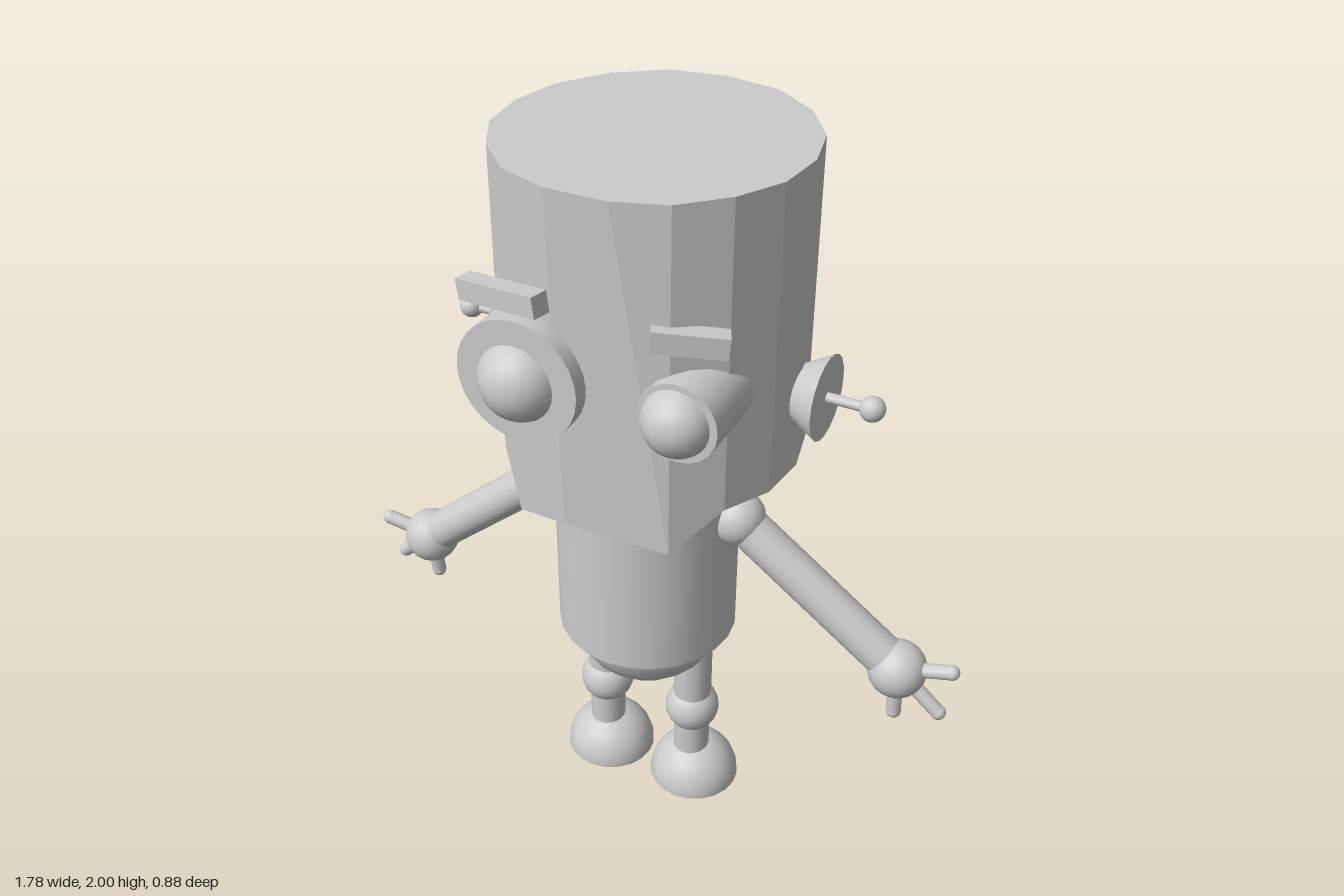
import * as THREE from 'three';

const V = (x, y, z) => new THREE.Vector3(x, y, z);

export function createModel() {
  const root = new THREE.Group();
  const smooth = new THREE.MeshStandardMaterial({ color: 0xcccccc });
  const flat = new THREE.MeshStandardMaterial({ color: 0xcccccc, flatShading: true, side: THREE.DoubleSide });

  const add = (name, geometry, x = 0, y = 0, z = 0, material = smooth) => {
    const mesh = new THREE.Mesh(geometry, material);
    mesh.name = name;
    mesh.position.set(x, y, z);
    root.add(mesh);
    return mesh;
  };
  const ball = (name, r, p) => add(name, new THREE.SphereGeometry(r, 20, 14), p.x, p.y, p.z);
  // Round bar from a to b, radius ra at a and rb at b
  const bar = (name, a, b, ra, rb = ra, sides = 20) => {
    const d = b.clone().sub(a);
    const mid = a.clone().add(b).multiplyScalar(0.5);
    const mesh = add(name, new THREE.CylinderGeometry(rb, ra, d.length(), sides), mid.x, mid.y, mid.z);
    mesh.quaternion.setFromUnitVectors(V(0, 1, 0), d.normalize());
    return mesh;
  };

  add('head', headGeometry(), 0, 0, 0, flat);

  // Neck and torso
  bar('neck', V(-0.01, 1.03, -0.02), V(-0.01, 1.2, -0.02), 0.08);
  bar('torso', V(-0.01, 0.57, -0.02), V(-0.01, 1.07, -0.02), 0.25, 0.25, 24);
  ball('hips', 0.23, V(-0.01, 0.61, -0.02));

  // Eyes: a wide short socket on the right, a narrow long one on the left
  bar('rightEyeSocket', V(-0.16, 1.5, 0.18), V(-0.16, 1.5, 0.37), 0.163, 0.163, 28);
  ball('rightEye', 0.108, V(-0.163, 1.495, 0.335));
  bar('leftEyeSocket', V(0.245, 1.485, 0.1), V(0.245, 1.485, 0.338), 0.104);
  ball('leftEye', 0.09, V(0.242, 1.485, 0.32));

  // Eyebrows
  add('rightEyebrow', new THREE.BoxGeometry(0.255, 0.055, 0.05), -0.21, 1.7, 0.33, flat)
    .rotation.set(0, -0.25, 0.15);
  add('leftEyebrow', new THREE.BoxGeometry(0.18, 0.055, 0.05), 0.25, 1.675, 0.285, flat)
    .rotation.set(0, 0.46, -0.1);

  const limbs = {
    left: {
      s: 1, leg: 0.135, shoulder: V(0.255, 0.99, -0.02), hand: V(0.725, 0.64, -0.035),
      tips: [V(0.87, 0.68, -0.04), V(0.85, 0.535, -0.035), V(0.73, 0.495, -0.03)],
    },
    right: {
      s: -1, leg: -0.145, shoulder: V(-0.27, 0.99, -0.02), hand: V(-0.735, 0.597, -0.01),
      tips: [V(-0.87, 0.63, 0.01), V(-0.835, 0.51, -0.005), V(-0.73, 0.46, -0.02)],
    },
  };
  for (const [side, { s, leg, shoulder, hand, tips }] of Object.entries(limbs)) {
    // Ear horn with a ball-tipped antenna
    bar(side + 'Ear', V(s * 0.37, 1.385, -0.075), V(s * 0.455, 1.385, -0.075), 0.065, 0.112);
    const tip = V(s * 0.573, 1.387, -0.075);
    bar(side + 'Antenna', V(s * 0.42, 1.387, -0.075), tip, 0.014, 0.014, 10);
    ball(side + 'AntennaTip', 0.033, tip);

    // Arm, hand and three fingers
    ball(side + 'Shoulder', 0.075, shoulder);
    bar(side + 'Arm', shoulder, hand, 0.057);
    ball(side + 'Hand', 0.08, hand);
    for (const t of tips) {
      bar(side + 'Finger', hand, t, 0.021, 0.021, 10);
      ball(side + 'Fingertip', 0.021, t);
    }

    // Leg, knee and domed foot
    bar(side + 'UpperLeg', V(leg, 0.27, -0.02), V(leg, 0.6, -0.02), 0.055);
    ball(side + 'Knee', 0.078, V(leg, 0.27, -0.02));
    bar(side + 'LowerLeg', V(leg, 0.08, -0.02), V(leg, 0.27, -0.02), 0.052);
    const dome = new THREE.SphereGeometry(0.131, 20, 8, 0, Math.PI * 2, 0, Math.PI / 2);
    add(side + 'Foot', dome, s * 0.141, 0, -0.03);
    add(side + 'Sole', new THREE.CircleGeometry(0.131, 20), s * 0.141, 0, -0.03).rotation.x = Math.PI / 2;
  }
  return root;
}

// Faceted head: round at the top, with a flat face that drops to a wedge jaw
function headGeometry() {
  // Half outline from back to front: x, z at the top, z and y at the bottom
  const half = [
    [0, -0.44, -0.44, 1.175], [0.15, -0.415, -0.415, 1.175], [0.275, -0.325, -0.325, 1.175],
    [0.36, -0.2, -0.2, 1.175], [0.392, -0.06, -0.06, 1.175], [0.378, 0.08, 0.08, 1.175],
    [0.312, 0.2, 0.2, 1.175], [0.21, 0.3, 0.3, 1.07], [0.08, 0.345, 0.305, 1.07],
  ];
  const ring = [...half, ...half.slice(1).reverse().map(([x, ...rest]) => [-x, ...rest])];
  const top = ring.map(([x, z]) => [x, 2, z]);
  const low = ring.map(([x, , z, y]) => [x, y, z]);
  const n = ring.length;
  const pos = [];
  for (let i = 0; i < n; i++) {
    const j = (i + 1) % n;
    pos.push(...low[i], ...top[i], ...top[j], ...low[i], ...top[j], ...low[j]);
    // Caps fan out from the back corner
    if (i > 0 && j > 0) pos.push(...top[0], ...top[j], ...top[i], ...low[0], ...low[i], ...low[j]);
  }
  const g = new THREE.BufferGeometry();
  g.setAttribute('position', new THREE.Float32BufferAttribute(pos, 3));
  g.computeVertexNormals();
  return g;
}
